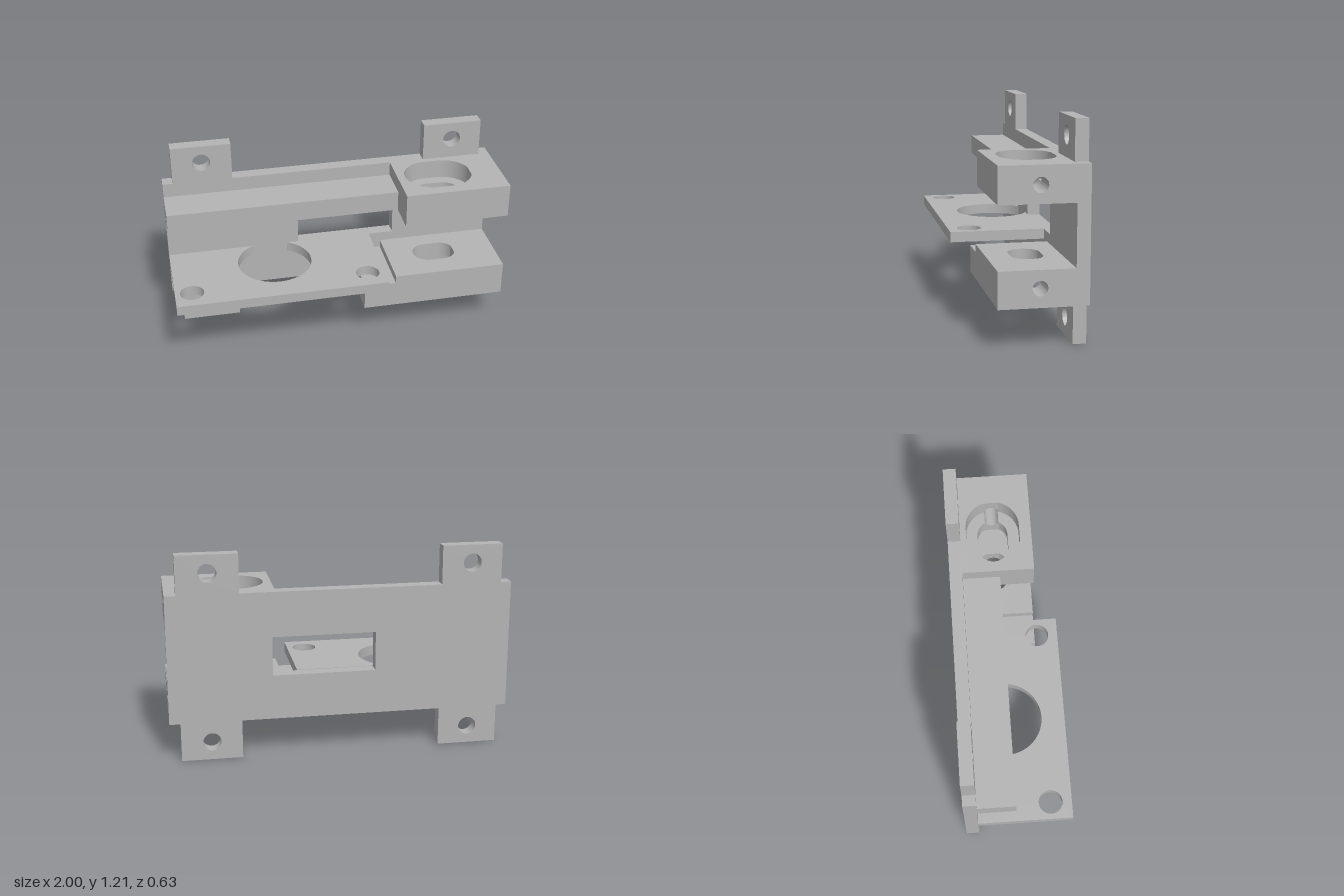
import * as THREE from 'three';
import { toCreasedNormals } from 'three/addons/utils/BufferGeometryUtils.js';

export function createModel() {
  const model = new THREE.Group();
  model.name = 'mountingBracket';
  const grey = new THREE.MeshStandardMaterial({ color: 0xb4b4b4 });
  grey.name = 'plain grey';

  const BACK = -0.315, WALL = -0.24, FRONT = 0.18; // depth planes

  function add(name, geo, parent = model) {
    const mesh = new THREE.Mesh(toCreasedNormals(geo, 0.5), grey);
    mesh.name = name;
    parent.add(mesh);
    return mesh;
  }
  const extrude = (shape, depth) =>
    new THREE.ExtrudeGeometry(shape, { depth, bevelEnabled: false, curveSegments: 32 });
  const polygon = (pts) => new THREE.Shape(pts.map(([x, y]) => new THREE.Vector2(x, y)));
  const rect = (x0, y0, x1, y1) => polygon([[x0, y0], [x1, y0], [x1, y1], [x0, y1]]);
  const punch = (shape, x, y, r) =>
    shape.holes.push(new THREE.Path().absarc(x, y, r, 0, Math.PI * 2, true));

  // Horizontal slab from an (x, z) outline
  const slab = (shape, ya, yb) =>
    extrude(shape, Math.abs(yb - ya)).rotateX(Math.PI / 2).translate(0, Math.max(ya, yb), 0);
  // Piece extruded along x from a (-z, y) outline
  const bar = (shape, x0, x1) => extrude(shape, x1 - x0).rotateY(Math.PI / 2).translate(x0, 0, 0);
  const box = (x0, x1, y0, y1, z0, z1) =>
    new THREE.BoxGeometry(x1 - x0, y1 - y0, z1 - z0)
      .translate((x0 + x1) / 2, (y0 + y1) / 2, (z0 + z1) / 2);

  // Back plate with four drilled tabs and a window
  const plate = polygon([
    [-1, 0.2275], [-0.94, 0.2275], [-0.94, 0], [-0.587, 0], [-0.587, 0.2275],
    [0.582, 0.2275], [0.582, 0], [0.936, 0], [0.936, 0.2275], [1, 0.2275],
    [1, 0.985], [0.936, 0.985], [0.936, 1.2125], [0.582, 1.2125], [0.582, 0.985],
    [-0.587, 0.985], [-0.587, 1.2125], [-0.94, 1.2125], [-0.94, 0.985], [-1, 0.985],
  ]);
  for (const x of [-0.765, 0.758]) for (const y of [0.107, 1.107]) punch(plate, x, y, 0.053);
  plate.holes.push(rect(-0.2, 0.49, 0.4, 0.72));
  add('backPlate', extrude(plate, WALL - BACK).translate(0, 0, BACK));

  // Upper rail
  add('upperRail', box(-1, 0.375, 0.78, 0.9, WALL, -0.02));

  // Shelf: the big round cut-out runs out through its rear edge
  const cx = -0.378, cz = -0.045, R = 0.222;
  const a = Math.acos((WALL - cz) / R) + Math.PI / 2; // angle measure of the rear chord
  const chord = Math.sqrt(R * R - (WALL - cz) ** 2);
  const start = Math.atan2(WALL - cz, -chord), sweep = 2 * a - Math.PI;
  const shelf = [[-1, WALL]];
  for (let i = 0; i <= 56; i++) {
    const t = start - (i / 56) * sweep;
    shelf.push([cx + R * Math.cos(t), cz + R * Math.sin(t)]);
  }
  shelf.push([0.25, WALL], [0.25, 0.315], [-1, 0.315]);
  const shelfShape = polygon(shelf);
  for (const x of [-0.9, 0.145]) punch(shelfShape, x, 0.19, 0.07);
  add('shelf', slab(shelfShape, 0.4325, 0.4925));

  // Outline of a block with a rounded slot that opens through its +x side
  const SX = 0.6225, SZ = -0.047;
  function slotted(x0, x1, r, half) {
    const pts = [[x0, WALL], [x1, WALL]];
    const end = Math.acos((x1 - SX - half) / r);
    for (let i = 0; i <= 16; i++) {
      const t = -end - (i / 16) * (Math.PI / 2 - end);
      pts.push([SX + half + r * Math.cos(t), SZ + r * Math.sin(t)]);
    }
    for (let i = 0; i <= 32; i++) {
      const t = -Math.PI / 2 - (i / 32) * Math.PI;
      pts.push([SX - half + r * Math.cos(t), SZ + r * Math.sin(t)]);
    }
    for (let i = 0; i <= 16; i++) {
      const t = Math.PI / 2 - (i / 16) * (Math.PI / 2 - end);
      pts.push([SX + half + r * Math.cos(t), SZ + r * Math.sin(t)]);
    }
    pts.push([x1, FRONT], [x0, FRONT]);
    return polygon(pts);
  }

  // Clamp block: stepped slot plus a side hole; the lower one is a mirror image
  function clampBlock(name, x0, my) {
    const block = new THREE.Group();
    block.name = name;
    model.add(block);
    const inner = my(0.78), ledge = my(0.87), outer = my(0.985), holeY = 0.88, r = 0.042;
    const xs = 0.745, xw = 0.819;
    add('slotFloor', slab(slotted(x0, xs, 0.09, 0.0425), inner, ledge), block);
    add('slotRecess', slab(slotted(x0, xw, 0.1575, 0.045), ledge, outer), block);

    // Strip of ledge grooved by the side hole
    const groove = [[-FRONT, inner], [-FRONT, ledge]];
    const g = Math.asin((holeY - 0.87) / r);
    for (let i = 0; i <= 20; i++) {
      const t = Math.PI + g + (i / 20) * (Math.PI - 2 * g);
      groove.push([-SZ + r * Math.cos(t), my(holeY + r * Math.sin(t))]);
    }
    groove.push([-WALL, ledge], [-WALL, inner]);
    add('groovedLedge', bar(polygon(groove), xs, xw), block);

    // End wall with the side hole
    const wall = rect(-FRONT, Math.min(inner, outer), -WALL, Math.max(inner, outer));
    punch(wall, -SZ, my(holeY), r);
    add('endWall', bar(wall, xw, 1), block);
  }
  clampBlock('upperBlock', 0.375, (y) => y);
  clampBlock('lowerBlock', 0.325, (y) => 1.2125 - y);

  // Low step beside the lower block
  add('lowerStep', box(0.133, 0.325, 0.2275, 0.385, WALL, FRONT));

  return model;
}
